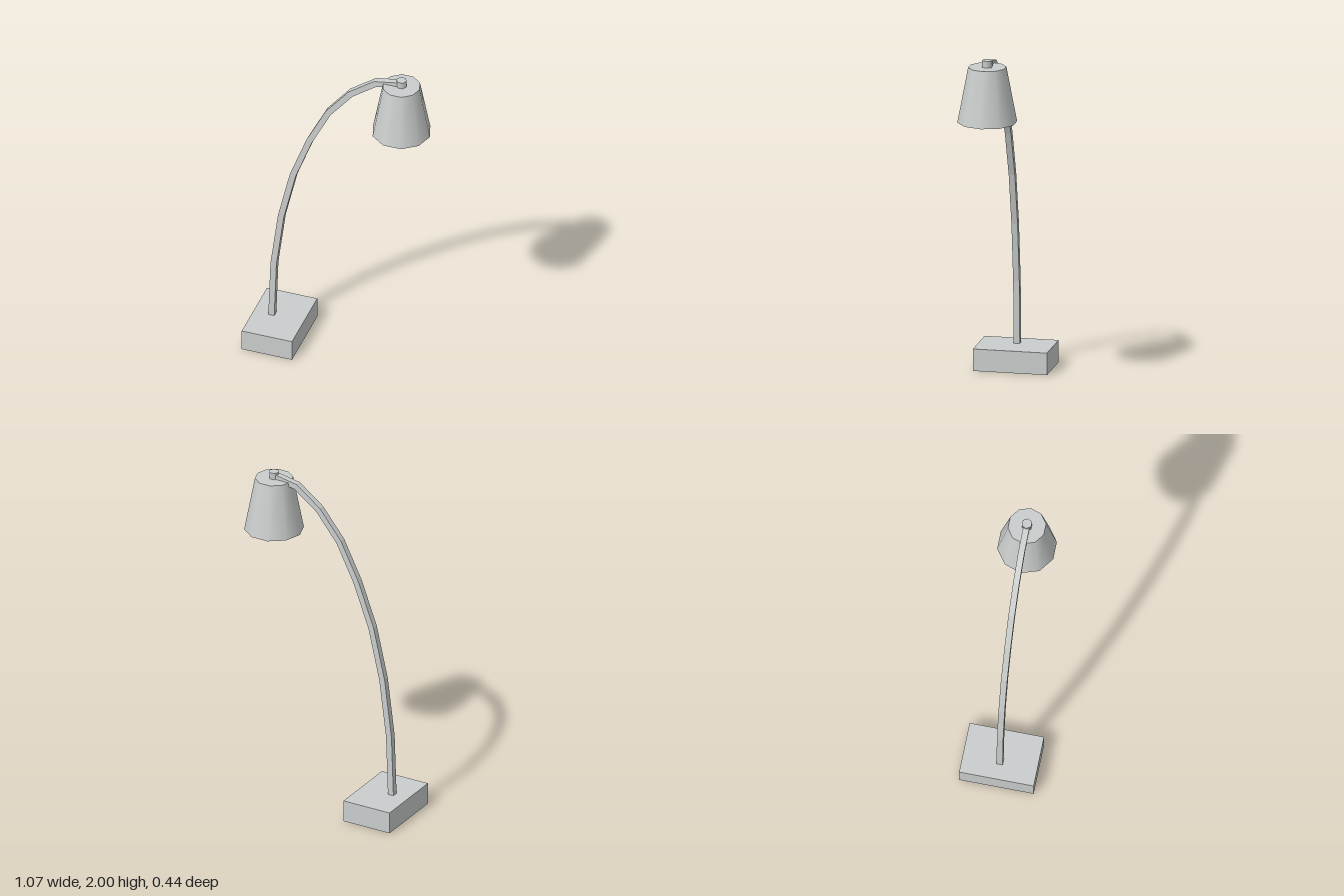
import * as THREE from 'three';

const grey = new THREE.MeshStandardMaterial({ color: 0xcacecd });
grey.name = 'paleGrey';

function part(name, geometry, x = 0, y = 0, z = 0) {
  const mesh = new THREE.Mesh(geometry, grey);
  mesh.name = name;
  mesh.position.set(x, y, z);
  return mesh;
}

// Square bar with mitred joints, following points in the xy plane
function squareBar(points, half) {
  const pts = points.map(([x, y]) => new THREE.Vector2(x, y));
  const positions = [];
  const index = [];
  pts.forEach((p, i) => {
    const before = p.clone().sub(pts[Math.max(i - 1, 0)]).normalize();
    const after = pts[Math.min(i + 1, pts.length - 1)].clone().sub(p).normalize();
    const dir = before.clone().add(after).normalize();
    const ref = i === 0 ? after : before;
    const w = half / dir.dot(ref);
    const nx = -dir.y * w, ny = dir.x * w;
    for (const [s, z] of [[1, half], [1, -half], [-1, -half], [-1, half]]) {
      positions.push(p.x + s * nx, p.y + s * ny, z);
    }
  });
  for (let i = 0; i < pts.length - 1; i++) {
    for (let k = 0; k < 4; k++) {
      const a = i * 4 + k, b = i * 4 + (k + 1) % 4;
      index.push(a, a + 4, b, b, a + 4, b + 4);
    }
  }
  // End caps
  const e = (pts.length - 1) * 4;
  index.push(0, 1, 2, 0, 2, 3, e, e + 2, e + 1, e, e + 3, e + 2);
  const geo = new THREE.BufferGeometry();
  geo.setAttribute('position', new THREE.Float32BufferAttribute(positions, 3));
  geo.setIndex(index);
  const flat = geo.toNonIndexed();
  flat.computeVertexNormals();
  return flat;
}

export function createModel() {
  const lamp = new THREE.Group();
  lamp.name = 'archedFloorLamp';
  const shadeX = 0.358;

  // Heavy block foot
  lamp.add(part('base', new THREE.BoxGeometry(0.305, 0.13, 0.435), -0.3825, 0.065, 0));

  // Curved arm rising from the base to the shade
  const path = [
    [-0.426, 0.125], [-0.413, 0.5], [-0.368, 0.852], [-0.296, 1.165], [-0.196, 1.435],
    [-0.081, 1.665], [0.055, 1.835], [0.205, 1.946], [0.35, 1.972],
  ];
  lamp.add(part('arm', squareBar(path, 0.018), 0, 0, 0));

  // Ten-sided tapered shade, closed at both ends
  const shade = new THREE.CylinderGeometry(0.11, 0.172, 0.325, 10);
  shade.rotateY(Math.PI / 2);
  lamp.add(part('shade', shade, shadeX, 1.7975, 0));

  // Small six-sided cap on top of the shade
  const cap = new THREE.CylinderGeometry(0.031, 0.031, 0.05, 6);
  cap.rotateY(Math.PI / 2);
  lamp.add(part('cap', cap, shadeX, 1.975, 0));

  return lamp;
}
